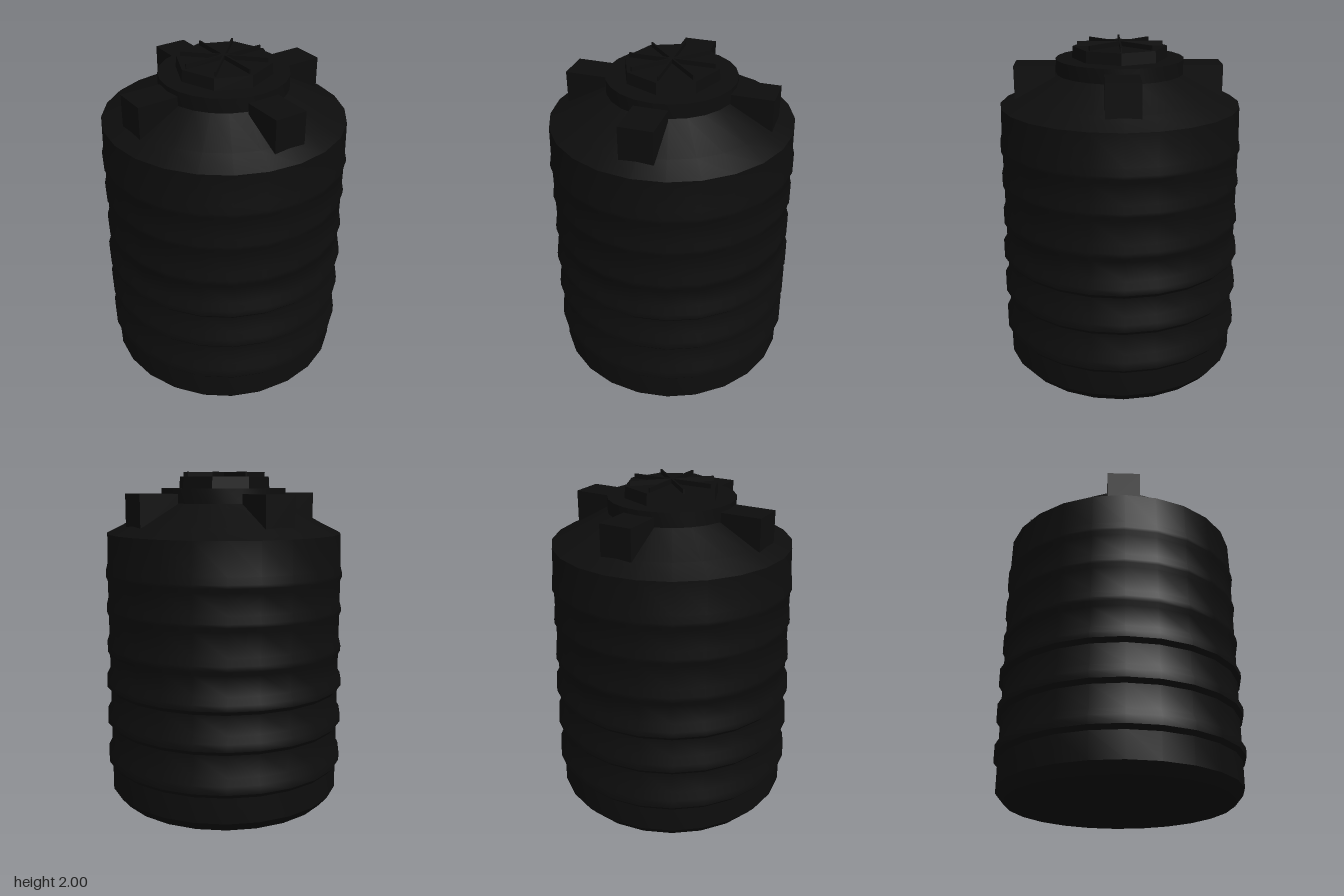
import * as THREE from 'three';
import { toCreasedNormals } from 'three/addons/utils/BufferGeometryUtils.js';

export function createModel() {
  const model = new THREE.Group();
  model.name = 'waterTank';
  const black = new THREE.MeshStandardMaterial({ color: 0x0d0d0d });
  black.name = 'black plastic';

  const add = (name, geometry, parent = model) => {
    const mesh = new THREE.Mesh(geometry, black);
    mesh.name = name;
    parent.add(mesh);
    return mesh;
  };

  // Tank wall: chamfered foot, raised hoops, sloping shoulder and neck
  const wall = 0.715;
  const profile = [[0, 0], [0.665, 0], [wall, 0.06]];
  const hoops = [
    [0.23, 0.30, 0.737], [0.48, 0.545, 0.737], [0.71, 0.765, 0.737],
    [0.93, 0.98, 0.728], [1.17, 1.21, 0.725], [1.38, 1.42, 0.725],
  ];
  for (const [low, high, radius] of hoops) {
    profile.push([wall, low - 0.015], [radius, low + 0.01], [radius, high - 0.01], [wall, high + 0.03]);
  }
  profile.push([0.71, 1.64], [0.59, 1.7], [0.375, 1.82], [0.375, 1.905], [0, 1.905]);
  const body = new THREE.LatheGeometry(profile.map(([r, y]) => new THREE.Vector2(r, y)), 24);
  add('tankBody', toCreasedNormals(body, 0.6));

  // Four lifting blocks on the shoulder
  for (let i = 0; i < 4; i++) {
    const pivot = new THREE.Group();
    pivot.name = 'shoulderBlock' + (i + 1);
    pivot.rotation.y = i * Math.PI / 2;
    pivot.position.z = i % 2 ? 0 : 0.01;
    model.add(pivot);
    add('block', new THREE.BoxGeometry(0.195, 0.22, 0.24), pivot).position.set(0, 1.765, 0.485);
  }

  // Eight-sided lid
  const lid = new THREE.Group();
  lid.name = 'lid';
  model.add(lid);
  const cap = toCreasedNormals(new THREE.CylinderGeometry(0.275, 0.28, 0.07, 8), 0.5);
  add('lidCap', cap, lid).position.y = 1.938;

  // Thin radial ribs on the lid
  for (let i = 0; i < 8; i++) {
    const rib = new THREE.BoxGeometry(0.25, 0.03, 0.01);
    rib.translate(0.125, 1.985, 0);
    add('lidRib', rib, lid).rotation.y = i * Math.PI / 4;
  }
  return model;
}
